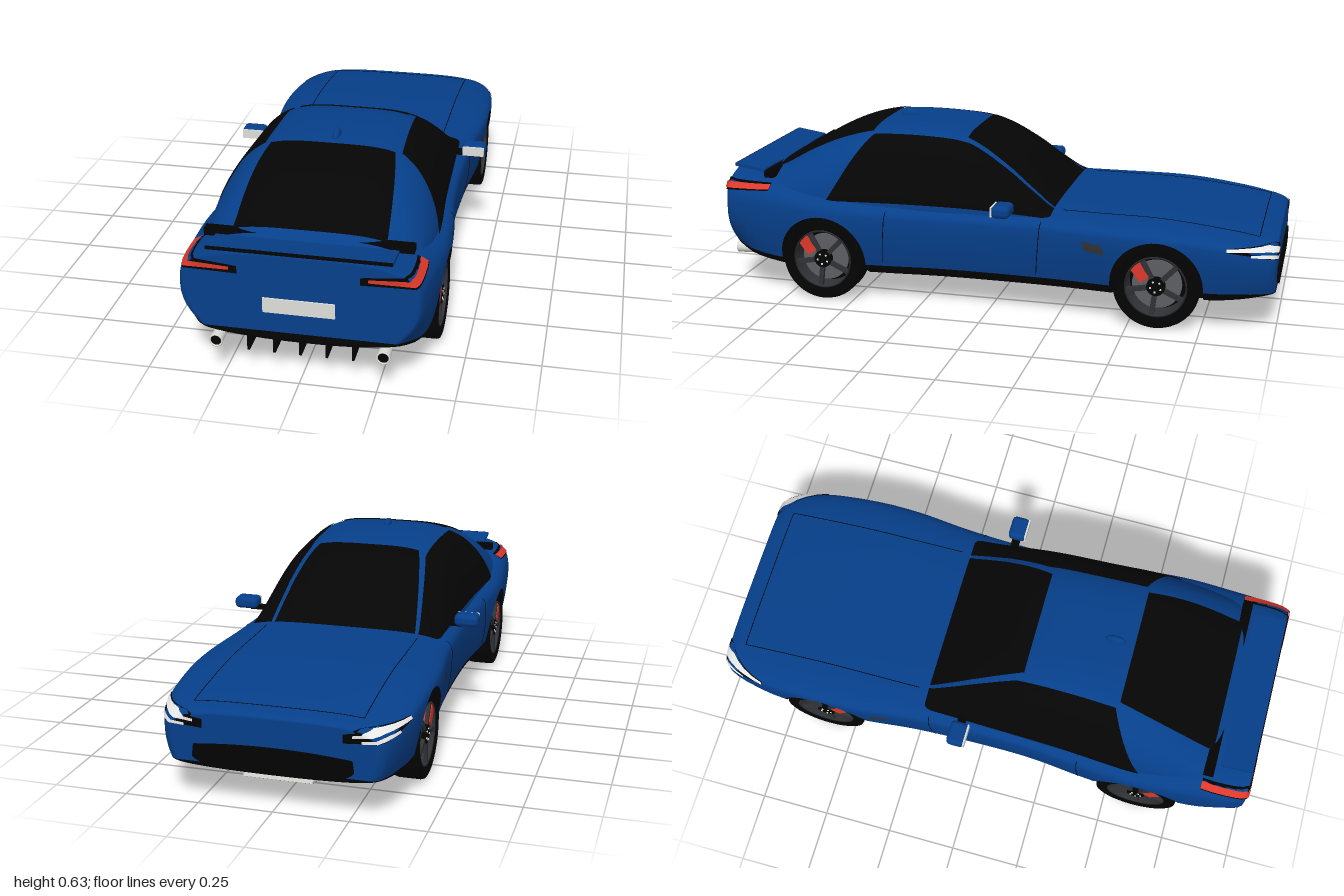
import * as THREE from 'three';
import { RoundedBoxGeometry } from 'three/addons/geometries/RoundedBoxGeometry.js';

const material = (name, color) => new THREE.MeshStandardMaterial({ name, color, side: THREE.DoubleSide });
const paint = material('blue paint', 0x063f8a), trim = material('black trim', 0x030303);
const glass = material('dark glass', 0x050505), red = material('red', 0xdc382a);
const silver = material('silver', 0xdedfda), white = material('white lamp', 0xf6f6f4);
const rimGrey = material('dark rim grey', 0x303236), grey = material('disc grey', 0x5c5e62);

const { lerp, clamp } = THREE.MathUtils;

// Smooth function through [z, value] pairs
const track = (p) => (z) => {
  z = clamp(z, p[0][0], p[p.length - 1][0]);
  let i = 0;
  while (i < p.length - 2 && z > p[i + 1][0]) i++;
  const slope = (k) => {
    const a = p[Math.max(0, k - 1)], b = p[Math.min(p.length - 1, k + 1)];
    return (b[1] - a[1]) / (b[0] - a[0]);
  };
  const h = p[i + 1][0] - p[i][0], t = (z - p[i][0]) / h, u = 1 - t;
  return p[i][1] * u * u * (1 + 2 * t) + p[i + 1][1] * t * t * (3 - 2 * t)
    + h * t * u * (slope(i) * u - slope(i + 1) * t);
};

// Body curves along z (nose at -z, tail at +z)
const NOSE = -0.993, TAIL = 0.985, N = 3.6;
const width = track([[NOSE, 0.34], [-0.98, 0.36], [-0.94, 0.38], [-0.88, 0.396], [-0.8, 0.41], [-0.6, 0.42], [-0.45, 0.416],
  [-0.25, 0.395], [0, 0.385], [0.2, 0.387], [0.4, 0.407], [0.6, 0.42], [0.8, 0.408], [0.93, 0.395], [0.97, 0.387], [TAIL, 0.376]]);
const top = track([[NOSE, 0.31], [-0.96, 0.322], [-0.8, 0.343], [-0.6, 0.362], [-0.4, 0.366], [-0.2, 0.37], [0, 0.368],
  [0.3, 0.376], [0.6, 0.4], [0.85, 0.436], [TAIL, 0.447]]);
const waist = track([[NOSE, 0.23], [-0.85, 0.265], [-0.6, 0.29], [0.6, 0.29], [TAIL, 0.3]]);
const tuck = track([[NOSE, 0.15], [-0.9, 0.08], [-0.75, 0.05], [0.75, 0.05], [0.9, 0.08], [TAIL, 0.25]]);
const sill = track([[NOSE, 0.14], [-0.75, 0.14], [0.75, 0.14], [0.88, 0.155], [TAIL, 0.174]]);
const floor = track([[NOSE, 0.122], [-0.9, 0.085], [-0.78, 0.064], [-0.6, 0.06], [0.7, 0.06], [0.83, 0.078],
  [0.9, 0.096], [0.95, 0.12], [TAIL, 0.15]]);
const belly = (z, x) => sill(z) - (sill(z) - floor(z)) * Math.sqrt(1 - (x / width(z)) ** 2);

// Wheel arches
const AXLES = [-0.597, 0.61], ARCH = 0.16, HUB_Y = 0.15;
const archAt = (z) => AXLES.find((c) => Math.abs(z - c) < ARCH);
const edge = (z) => {
  const c = archAt(z);
  return c === undefined ? sill(z) : Math.max(sill(z), HUB_Y + Math.sqrt(ARCH ** 2 - (z - c) ** 2));
};
const hull = (z, y) => {
  const m = waist(z), w = width(z);
  if (y < m) return w * (1 - tuck(z) * ((m - y) / 0.15) ** 2);
  return w * Math.max(0, 1 - ((y - m) / (top(z) - m)) ** N) ** (1 / N);
};
const deck = (z, x) => waist(z) + (top(z) - waist(z)) * Math.max(0, 1 - (Math.abs(x) / width(z)) ** N) ** (1 / N);

// Half cross-sections, as [x, y]
function upperSection(z) {
  const e = edge(z), m = waist(z), s = Math.max(e, m), H = top(z) - m, pts = [];
  for (let i = 0; i < 6; i++) { const y = lerp(e, s, i / 6); pts.push([hull(z, y), y]); }
  const a0 = Math.asin(((s - m) / H) ** (N / 2));
  for (let i = 0; i <= 16; i++) {
    const a = lerp(a0, Math.PI / 2, i / 16);
    pts.push([width(z) * Math.max(0, Math.cos(a)) ** (2 / N), m + H * Math.sin(a) ** (2 / N)]);
  }
  return pts;
}
function lowerSection(z) {
  const e = edge(z), x = hull(z, e), inner = 0.29, pts = [];
  for (let i = 0; i <= 10; i++) {
    const a = (i / 10) * Math.PI / 2;
    if (archAt(z) === undefined) pts.push([x * Math.max(0, Math.cos(a)) ** 0.9, e - (e - floor(z)) * Math.sin(a) ** 0.9]);
    else if (i === 0) pts.push([x, e]);
    else if (i <= 5) pts.push([inner, lerp(e, belly(z, inner), (i - 1) / 4)]);
    else pts.push([inner * (10 - i) / 5, belly(z, inner * (10 - i) / 5)]);
  }
  return pts;
}

// Surface grid from fn(u, v, i, j) -> [x, y, z]
function grid(nu, nv, fn) {
  const pos = [], idx = [];
  for (let i = 0; i <= nu; i++) for (let j = 0; j <= nv; j++) pos.push(...fn(i / nu, j / nv, i, j));
  for (let i = 0; i < nu; i++) for (let j = 0; j < nv; j++) {
    const a = i * (nv + 1) + j, b = a + nv + 1;
    idx.push(a, a + 1, b, b, a + 1, b + 1);
  }
  const g = new THREE.BufferGeometry();
  g.setAttribute('position', new THREE.Float32BufferAttribute(pos, 3));
  g.setIndex(idx);
  g.computeVertexNormals();
  return g;
}

function bodyLoft(section) {
  const zs = [NOSE, -0.988, -0.98, -0.97, 0.965, 0.975, 0.98, TAIL];
  for (let z = -0.95; z < 0.96; z += 0.035) zs.push(z);
  for (const c of AXLES) {
    zs.push(c - ARCH - 0.0005, c + ARCH + 0.0005);
    for (let i = 0; i <= 28; i++) zs.push(c + ARCH * 0.9999 * Math.cos(i / 28 * Math.PI));
  }
  const rows = zs.sort((a, b) => a - b).map((z) => [z, 1]);
  for (const f of [0.97, 0.5, 0]) { rows.unshift([NOSE, f]); rows.push([TAIL, f]); }
  const rings = rows.map(([z, f]) => {
    const half = section(z), e = edge(z);
    const full = [...half, ...half.slice(0, -1).reverse().map(([x, y]) => [-x, y])];
    return full.map(([x, y]) => [x * f, e + (y - e) * f, z]);
  });
  return grid(rings.length - 1, rings[0].length - 1, (u, v, i, j) => rings[i][j]);
}

// Cabin: t runs from -1 (right belt) over the roof to 1 (left belt)
const roof = track([[-0.24, 0.35], [-0.2, 0.378], [-0.15, 0.423], [-0.1, 0.465], [-0.05, 0.505], [0.05, 0.564], [0.14, 0.594],
  [0.25, 0.605], [0.4, 0.607], [0.5, 0.598], [0.6, 0.572], [0.7, 0.528], [0.8, 0.47], [0.87, 0.44], [0.93, 0.41]]);
const cabinWidth = track([[-0.24, 0.345], [0, 0.355], [0.3, 0.365], [0.6, 0.38], [0.93, 0.355]]);
function cabin(z, t, out = 0) {
  const a = Math.abs(t) * Math.PI / 2, base = 0.345;
  return [Math.sign(t) * (cabinWidth(z) + out) * Math.sin(a) ** 0.5,
    base + (roof(z) - base + out) * Math.max(0, Math.cos(a)) ** 1.21, z];
}

export function createModel() {
  const model = new THREE.Group();
  const add = (name, geo, mat, parent = model) => {
    const m = new THREE.Mesh(geo, mat);
    m.name = name;
    parent.add(m);
    return m;
  };
  const box = (name, w, h, d, x, y, z, mat, parent) => {
    const m = add(name, new THREE.BoxGeometry(w, h, d), mat, parent);
    m.position.set(x, y, z);
    return m;
  };
  const line = (name, pts) => add(name, new THREE.TubeGeometry(
    new THREE.CatmullRomCurve3(pts.map((p) => new THREE.Vector3(...p))), 40, 0.0014, 4), trim);

  add('bodyShell', bodyLoft(upperSection), paint);
  add('underbody', bodyLoft(lowerSection), trim);

  // Cabin and glazing
  add('cabin', grid(70, 80, (u, v) => cabin(lerp(-0.24, 0.93, u), v * 2 - 1)), paint);
  const G = 0.004;
  add('windshield', grid(30, 40, (u, v) => cabin(lerp(-0.215, 0.12, u), lerp(0.38, 0.183, u) * (v * 2 - 1), G)), glass);
  add('rearWindow', grid(30, 40, (u, v) => cabin(lerp(0.47, 0.83, u), lerp(0.203, 0.306, u) * (v * 2 - 1), G)), glass);
  for (const s of [1, -1]) add('sideWindow', grid(50, 30, (u, v) => {
    const z = lerp(-0.215, 0.46 + 0.14 * v, u);
    return cabin(z, s * lerp(lerp(0.418, 0.25, clamp((z + 0.2) / 0.3, 0, 1)), 0.92, v), G);
  }), glass);

  // Roof fin, straight tail spoiler and the dark cowl ahead of it
  const fin = add('roofFin', new THREE.SphereGeometry(1, 16, 10), paint);
  fin.scale.set(0.014, 0.026, 0.038);
  fin.position.set(0, 0.604, 0.4);
  const spoiler = new THREE.Group();
  spoiler.name = 'tailSpoiler';
  spoiler.position.set(0, 0.443, 0.925);
  spoiler.rotation.x = -0.15;
  box('spoilerBlade', 0.59, 0.012, 0.114, 0, 0, 0, paint, spoiler);
  box('spoilerEdge', 0.59, 0.011, 0.004, 0, 0, 0.058, trim, spoiler);
  model.add(spoiler);
  box('tailCowl', 0.68, 0.024, 0.035, 0, 0.434, 0.833, trim);

  // Lamps wrapped around the corners
  const wrap = (name, mat, s, end, zs, xs, lo, hi, out) => {
    const cols = [...zs.map((z) => ({ z })), ...xs.map((x) => ({ x, z: end }))], n = cols.length - 1;
    add(name, grid(n, 1, (u, v) => {
      const y = v ? hi(u) : lo(u), c = cols[Math.round(u * n)];
      const x = c.x ?? hull(c.z, y) + out;
      return [s * x, y, c.z === end ? end + Math.sign(end) * out : c.z];
    }), mat);
  };
  const bend = (a, b, c) => (u) => (u < 0.5 ? lerp(a, b, u * 2) : lerp(b, c, u * 2 - 1));
  for (const s of [1, -1]) {
    const tz = [0.82, 0.86, 0.9, 0.94, 0.965, 0.975, TAIL], tx = [0.31, 0.28, 0.25, 0.22, 0.195];
    wrap('tailLampHousing', trim, s, TAIL, tz, tx, bend(0.385, 0.377, 0.373), bend(0.406, 0.415, 0.399), 0.004);
    wrap('tailLampStripe', red, s, TAIL, tz, tx.slice(0, 4), bend(0.389, 0.385, 0.385), bend(0.403, 0.405, 0.396), 0.007);
    const hz = [-0.83, -0.87, -0.91, -0.94, -0.965, -0.98, NOSE], hx = [0.29, 0.26, 0.23];
    wrap('headlampHousing', trim, s, NOSE, hz, hx, bend(0.292, 0.266, 0.256), bend(0.304, 0.307, 0.286), 0.003);
    wrap('headlampUpper', white, s, NOSE, hz, hx.slice(0, 2), bend(0.294, 0.289, 0.275), bend(0.303, 0.304, 0.284), 0.005);
    wrap('headlampLower', white, s, NOSE, hz.slice(2), hx.slice(0, 1), bend(0.276, 0.27, 0.26), bend(0.284, 0.281, 0.269), 0.005);

    // Fender vent
    add('fenderVent', grid(4, 3, (u, v) => {
      const y = lerp(0.26, 0.294, v) - 0.008 * u, z = lerp(-0.35, -0.42, u) + 0.012 * v;
      return [s * (hull(z, y) + 0.004), y, z];
    }), rimGrey);

    // Door and bonnet gaps
    for (const z0 of [-0.19, 0.37]) line('doorGap', Array.from({ length: 10 }, (_, i) => {
      const y = lerp(0.15, 0.355, i / 9), z = z0 + (0.36 - y) * 0.08;
      return [s * hull(z, y), y, z];
    }));
    line('bonnetSideGap', Array.from({ length: 12 }, (_, i) => {
      const z = lerp(-0.93, -0.25, i / 11);
      return [s * 0.28, deck(z, 0.28), z];
    }));

    // Door mirror
    const mirror = new THREE.Group();
    mirror.name = 'doorMirror';
    mirror.position.set(s * 0.419, 0.388, -0.065);
    add('mirrorShell', new RoundedBoxGeometry(0.087, 0.043, 0.065, 3, 0.016), paint, mirror);
    box('mirrorGlass', 0.078, 0.034, 0.006, 0, 0, 0.032, silver, mirror);
    box('mirrorStem', 0.06, 0.014, 0.03, -s * 0.045, -0.018, 0, trim, mirror);
    model.add(mirror);

    // Exhaust
    const exhaust = new THREE.Group();
    exhaust.name = 'exhaust';
    exhaust.position.set(s * 0.27, 0.127, 0.93);
    add('exhaustPipe', new THREE.CylinderGeometry(0.022, 0.018, 0.136, 24, 1, true).rotateX(Math.PI / 2), silver, exhaust);
    add('exhaustRim', new THREE.TorusGeometry(0.02, 0.003, 8, 28), silver, exhaust).position.z = 0.067;
    add('exhaustBore', new THREE.CircleGeometry(0.019, 24), trim, exhaust).position.z = 0.064;
    model.add(exhaust);

    for (const z of AXLES) model.add(makeWheel(s, z, add, box));
  }
  line('bonnetFrontGap', Array.from({ length: 12 }, (_, i) => {
    const x = lerp(-0.28, 0.28, i / 11);
    return [x, deck(-0.93, x), -0.93];
  }));

  // Nose intake, number plate, diffuser fins and belly panel
  const mouth = new THREE.Shape();
  mouth.moveTo(-0.26, 0.2).quadraticCurveTo(0, 0.228, 0.26, 0.2);
  mouth.lineTo(0.265, 0.16).quadraticCurveTo(0.24, 0.134, 0.18, 0.134);
  mouth.lineTo(-0.18, 0.134).quadraticCurveTo(-0.24, 0.134, -0.265, 0.16);
  add('noseIntake', new THREE.ExtrudeGeometry(mouth, { depth: 0.008, bevelEnabled: false }), trim).position.z = -1;
  box('numberPlate', 0.232, 0.051, 0.006, 0, 0.27, TAIL + 0.002, silver);
  for (let i = -2; i <= 2; i++) box('diffuserFin', 0.008, 0.05, 0.1, i * 0.085, 0.115, 0.925, trim);
  const panel = new THREE.Group();
  panel.name = 'bellyPanel';
  panel.position.set(0, 0.077, -0.87);
  panel.rotation.x = 0.17;
  box('bellyPlate', 0.23, 0.008, 0.15, 0, 0, 0, silver, panel);
  for (let i = 0; i < 3; i++) box('bellySlat', 0.23, 0.005, 0.005, 0, -0.004, -0.065 + i * 0.014, grey, panel);
  model.add(panel);
  return model;
}

// Wheel with tyre, rim, spokes, disc and caliper; s is the outer side
function makeWheel(s, z, add, box) {
  const wheel = new THREE.Group();
  wheel.name = 'wheel';
  wheel.position.set(s * 0.358, HUB_Y, z);
  const lathe = (pts) => new THREE.LatheGeometry(pts.map(([r, a]) => new THREE.Vector2(r, a)), 48).rotateZ(-Math.PI / 2);
  add('tyre', lathe([[0.107, -0.044], [0.138, -0.05], [0.147, -0.046], [0.15, -0.036], [0.15, 0.036],
    [0.147, 0.046], [0.138, 0.05], [0.107, 0.044]]), trim, wheel);
  add('rimBarrel', lathe([[0.102, -0.044], [0.108, -0.046], [0.108, 0.046], [0.102, 0.046], [0.1, -0.03]]), rimGrey, wheel);
  const drum = (name, r, d, x, mat) => {
    add(name, new THREE.CylinderGeometry(r, r, d, 32).rotateZ(Math.PI / 2), mat, wheel).position.x = s * x;
  };
  drum('wheelBack', 0.106, 0.006, -0.03, trim);
  drum('brakeDisc', 0.086, 0.008, 0.008, grey);
  drum('hub', 0.032, 0.02, 0.034, trim);
  for (let i = 0; i < 5; i++) {
    const arm = new THREE.Group();
    arm.name = 'spoke';
    arm.rotation.x = ((i + 0.4) / 5) * Math.PI * 2;
    box('spokeBar', 0.012, 0.085, 0.017, s * 0.036, 0.062, 0, rimGrey, arm);
    box('wheelBolt', 0.004, 0.006, 0.006, s * 0.045, 0.019, 0, silver, arm);
    wheel.add(arm);
  }
  const caliper = box('caliper', 0.024, 0.07, 0.038, s * 0.032, 0.05, 0.06, red, wheel);
  caliper.rotation.x = 0.65;
  return wheel;
}
